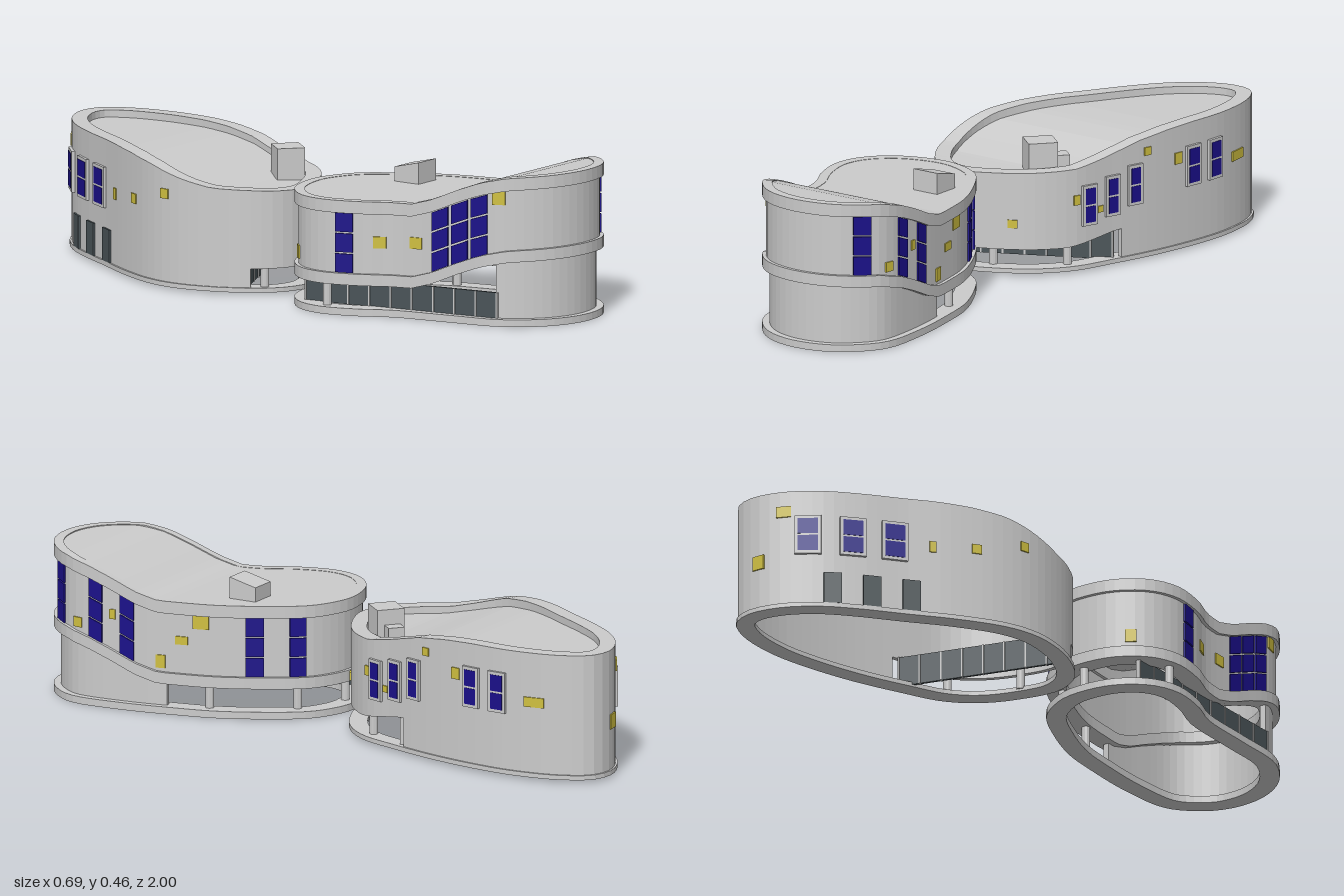
import * as THREE from 'three';

const material = (color) => new THREE.MeshStandardMaterial({ color, flatShading: true, side: THREE.DoubleSide });
const GREY = material(0xcccccc), BLUE = material(0x1a0f8a), YELLOW = material(0xd0c040), GLASS = material(0x4a5458);

// Piecewise-linear height as a function of z
const profile = (stops) => (z) => {
  if (z <= stops[0][0]) return stops[0][1];
  for (let i = 1; i < stops.length; i++) {
    const [z0, y0] = stops[i - 1], [z1, y1] = stops[i];
    if (z <= z1) return THREE.MathUtils.mapLinear(z, z0, z1, y0, y1);
  }
  return stops.at(-1)[1];
};

// Closed plan outline, running back, -x side, front, +x side
const outline = (pts) => new THREE.CatmullRomCurve3(pts.map(([x, z]) => new THREE.Vector3(x, 0, z)), true)
  .getSpacedPoints(80).slice(0, 80).map((p) => ({ x: p.x, z: p.z }));

const offset = (pts, d) => pts.map((p, i) => {
  const a = pts.at(i - 1), b = pts[(i + 1) % pts.length];
  const tx = b.x - a.x, tz = b.z - a.z, l = Math.hypot(tx, tz);
  return { x: p.x - tz / l * d, z: p.z + tx / l * d, side: tz > 0 ? -1 : 1 };
});

// Point and outward angle where the outline crosses z on the given side
function onWall(pts, side, z) {
  for (let i = 0; i < pts.length; i++) {
    const a = pts[i], b = pts[(i + 1) % pts.length], dz = b.z - a.z;
    if (dz * side < 0 && z >= Math.min(a.z, b.z) && z <= Math.max(a.z, b.z)) {
      return { x: a.x + (b.x - a.x) * (z - a.z) / dz, z, angle: Math.atan2(-dz, b.x - a.x) };
    }
  }
  return { x: 0, z, angle: 0 };
}

function addMesh(group, name, geometry, mat = GREY) {
  const mesh = new THREE.Mesh(geometry, mat);
  mesh.name = name;
  group.add(mesh);
  return mesh;
}

function fromTriangles(tri) {
  const g = new THREE.BufferGeometry();
  g.setAttribute('position', new THREE.Float32BufferAttribute(tri.flat(), 3));
  g.computeVertexNormals();
  return g;
}

// Thick wall following the outline; keep() leaves gaps with closed ends
function band(pts, out, inn, bottom, top, keep = () => true) {
  const outer = offset(pts, out), inner = offset(pts, inn), n = pts.length, tri = [];
  const loops = outer.map((o, i) => {
    const q = inner[i], p = { ...pts[i], side: o.side }, b = bottom(p), t = top(p);
    return [[o.x, b, o.z], [o.x, t, o.z], [q.x, t, q.z], [q.x, b, q.z]];
  });
  const kept = outer.map((o, i) => keep({ ...pts[i], side: o.side }));
  for (let i = 0; i < n; i++) {
    if (!kept[i]) continue;
    const A = loops[i], B = loops[(i + 1) % n];
    for (let k = 0; k < 4; k++) {
      const m = (k + 1) % 4;
      tri.push(A[k], B[k], B[m], A[k], B[m], A[m]);
    }
    if (!kept.at(i - 1)) tri.push(A[0], A[1], A[2], A[0], A[2], A[3]);
    if (!kept[(i + 1) % n]) tri.push(B[2], B[1], B[0], B[3], B[2], B[0]);
  }
  return fromTriangles(tri);
}

// Roof surface made of strips across the plan
function roofSheet(pts, height) {
  const zs = pts.map((p) => p.z), lo = Math.min(...zs) + 1e-4, hi = Math.max(...zs) - 1e-4, tri = [];
  const slice = (i) => {
    const z = (lo + hi) / 2 - (hi - lo) / 2 * Math.cos(Math.PI * i / 48), y = height(z);
    return [[onWall(pts, -1, z).x, y, z], [onWall(pts, 1, z).x, y, z]];
  };
  for (let i = 0; i < 48; i++) {
    const [a, d] = slice(i), [b, c] = slice(i + 1);
    tri.push(a, b, c, a, c, d);
  }
  return fromTriangles(tri);
}

// Thin panel set on a wall; an optional height profile shears it with the slope
function panel(group, name, pts, [side, z, y, w, h], depth, mat, slope) {
  const at = onWall(pts, side, z), g = new THREE.BoxGeometry(w, h, depth), v = g.attributes.position;
  if (slope) {
    for (let i = 0; i < v.count; i++) {
      v.setY(i, v.getY(i) + slope(z - Math.sin(at.angle) * v.getX(i)) - slope(z));
    }
  }
  const mesh = addMesh(group, name, g, mat);
  mesh.position.set(at.x, y, at.z);
  mesh.rotation.y = at.angle;
}

// Straight glazing between two plan points, with mullions
function screen(group, [x0, z0], [x1, z1], y0, y1, count) {
  const g = new THREE.Group(), len = Math.hypot(x1 - x0, z1 - z0);
  g.name = 'glassScreen';
  addMesh(g, 'glass', new THREE.BoxGeometry(len, y1 - y0, 0.008), GLASS);
  for (let i = 0; i <= count; i++) {
    addMesh(g, 'mullion', new THREE.BoxGeometry(0.005, y1 - y0, 0.014)).position.x = (i / count - 0.5) * len;
  }
  g.position.set((x0 + x1) / 2, (y0 + y1) / 2, (z0 + z1) / 2);
  g.rotation.y = -Math.atan2(z1 - z0, x1 - x0);
  group.add(g);
}

function pillars(group, spots, y0, y1) {
  for (const [x, z] of spots) {
    addMesh(group, 'pillar', new THREE.CylinderGeometry(0.013, 0.013, y1 - y0, 12)).position.set(x, (y0 + y1) / 2, z);
  }
}

function frontBuilding() {
  const g = new THREE.Group();
  g.name = 'frontBuilding';
  const plan = outline([[-0.1, 0.07], [-0.235, 0.105], [-0.32, 0.185], [-0.345, 0.28], [-0.315, 0.4], [-0.27, 0.49],
    [-0.235, 0.67], [-0.2, 0.84], [-0.127, 0.935], [-0.05, 0.98], [0.04, 0.995], [0.135, 0.975], [0.205, 0.925],
    [0.26, 0.84], [0.26, 0.67], [0.23, 0.49], [0.2, 0.37], [0.137, 0.24], [0.06, 0.13], [-0.02, 0.085]]);
  const roof = profile([[0.07, 0.35], [0.55, 0.35], [0.62, 0.37], [0.7, 0.405], [0.78, 0.435], [0.86, 0.453], [1, 0.462]]);
  const level = (d) => (p) => roof(p.z) + d;
  const wall = offset(plan, -0.011);

  addMesh(g, 'baseSlab', band(plan, 0, -0.06, () => 0, () => 0.022));
  addMesh(g, 'groundWall', band(plan, -0.022, -0.04, () => 0.02, level(-0.255),
    (p) => p.z > (p.side > 0 ? 0.54 : 0.82)));
  addMesh(g, 'floorBand', band(plan, 0, -0.06, level(-0.257), level(-0.222)));
  addMesh(g, 'upperWall', band(plan, -0.011, -0.02, level(-0.225), level(-0.035)));
  addMesh(g, 'roofBand', band(plan, 0, -0.03, level(-0.038), level(0)));
  addMesh(g, 'roof', roofSheet(offset(plan, -0.008), (z) => roof(z) - 0.001));
  screen(g, [-0.28, 0.18], [-0.185, 0.82], 0.02, 0.1, 9);
  pillars(g, [[-0.31, 0.28], [0.17, 0.41], [0.04, 0.18], [-0.12, 0.11]], 0.02, 0.1);

  // Tall windows of three stacked panes: side, z, width
  for (const [side, z, w] of [[1, 0.9, 0.055], [1, 0.757, 0.045], [1, 0.652, 0.045], [1, 0.27, 0.055], [1, 0.16, 0.05],
    [-1, 0.64, 0.055], [-1, 0.705, 0.055], [-1, 0.77, 0.055], [-1, 0.35, 0.055]]) {
    for (const i of [0, 1, 2]) {
      panel(g, 'windowPane', wall, [side, z, roof(z) - 0.068 - i * 0.062, w, 0.057], 0.01, BLUE, roof);
    }
  }
  // Coloured patches: side, z, y, width, height
  for (const p of [[1, 0.82, 0.25, 0.03, 0.03], [1, 0.7, 0.29, 0.02, 0.03], [1, 0.545, 0.16, 0.03, 0.04],
    [1, 0.48, 0.23, 0.04, 0.025], [1, 0.42, 0.29, 0.05, 0.04], [1, 0.155, 0.16, 0.03, 0.02], [-1, 0.45, 0.225, 0.04, 0.035],
    [-1, 0.56, 0.23, 0.04, 0.035], [-1, 0.83, 0.39, 0.04, 0.04], [-1, 0.15, 0.165, 0.035, 0.04]]) {
    panel(g, 'colourPatch', wall, p, 0.008, YELLOW);
  }
  // Roof hatch with a sloping top
  const hatch = new THREE.BoxGeometry(0.088, 0.06, 0.09), v = hatch.attributes.position;
  for (let i = 0; i < v.count; i++) if (v.getY(i) > 0) v.setY(i, 0.03 + v.getZ(i) * 0.24);
  addMesh(g, 'roofHatch', hatch).position.set(0.06, 0.374, 0.335);
  return g;
}

function backBuilding() {
  const g = new THREE.Group();
  g.name = 'backBuilding';
  const plan = outline([[0.19, -0.998], [0.095, -0.965], [0.005, -0.89], [-0.065, -0.795], [-0.14, -0.67], [-0.22, -0.54],
    [-0.285, -0.405], [-0.305, -0.315], [-0.3, -0.225], [-0.26, -0.105], [-0.18, 0], [-0.085, 0.03], [0.03, -0.005],
    [0.137, -0.07], [0.21, -0.16], [0.255, -0.29], [0.3, -0.45], [0.33, -0.63], [0.335, -0.76], [0.31, -0.9], [0.26, -0.98]]);
  const roof = profile([[-0.6, 0.392], [-0.5, 0.387], [-0.39, 0.373], [-0.26, 0.34], [-0.17, 0.322], [0.03, 0.315]]);
  const head = profile([[-0.31, 0.11], [-0.15, 0.08]]);
  const top = (d) => (p) => roof(p.z) + d;

  addMesh(g, 'baseSlab', band(plan, 0.006, -0.05, () => 0.008, () => 0.022));
  addMesh(g, 'lowerWall', band(plan, 0, -0.014, () => 0.015, (p) => head(p.z),
    (p) => p.z < (p.side > 0 ? -0.31 : -0.08)));
  addMesh(g, 'upperWall', band(plan, 0, -0.014, (p) => head(p.z), top(-0.01)));
  addMesh(g, 'parapet', band(plan, 0, -0.048, top(-0.03), top(0)));
  addMesh(g, 'roof', roofSheet(offset(plan, -0.044), (z) => roof(z) - 0.022));
  screen(g, [0.245, -0.31], [-0.24, -0.08], 0.015, 0.11, 8);
  pillars(g, [[0, -0.04], [0.18, -0.17], [-0.19, -0.04]], 0.015, 0.09);

  // Framed windows of two panes: side, z, centre height, width
  for (const [side, z, y, w] of [[1, -0.21, 0.205, 0.035], [1, -0.292, 0.22, 0.035], [1, -0.372, 0.24, 0.035],
    [1, -0.6, 0.258, 0.042], [1, -0.697, 0.258, 0.042], [-1, -0.915, 0.245, 0.062], [-1, -0.81, 0.245, 0.062],
    [-1, -0.7, 0.245, 0.062]]) {
    panel(g, 'windowFrame', plan, [side, z, y, w + 0.018, 0.125], 0.018, GREY);
    for (const s of [-1, 1]) panel(g, 'windowPane', plan, [side, z, y + s * 0.028, w, 0.05], 0.021, BLUE);
  }
  for (const z of [-0.86, -0.76, -0.655]) panel(g, 'door', plan, [-1, z, 0.072, 0.055, 0.1], 0.012, GLASS);

  // Coloured patches: side, z, y, width, height
  for (const p of [[1, -0.03, 0.16, 0.03, 0.025], [1, -0.17, 0.225, 0.02, 0.03], [1, -0.25, 0.185, 0.02, 0.02],
    [1, -0.42, 0.335, 0.025, 0.025], [1, -0.54, 0.29, 0.03, 0.035], [1, -0.82, 0.24, 0.065, 0.03],
    [-1, -0.96, 0.325, 0.045, 0.035], [-1, -0.993, 0.17, 0.04, 0.045], [-1, -0.6, 0.24, 0.02, 0.035],
    [-1, -0.48, 0.25, 0.03, 0.03], [-1, -0.33, 0.29, 0.03, 0.03]]) {
    panel(g, 'colourPatch', plan, p, 0.008, YELLOW);
  }
  // Rooftop plant room with a small annex
  for (const [name, x, z, w, d, y] of [['plantRoom', 0.088, -0.158, 0.09, 0.085, 0.395], ['plantAnnex', 0.118, -0.2, 0.07, 0.05, 0.348]]) {
    const box = addMesh(g, name, new THREE.BoxGeometry(w, y - 0.29, d));
    box.position.set(x, (y + 0.29) / 2, z);
    box.rotation.y = 0.86;
  }
  return g;
}

export function createModel() {
  const model = new THREE.Group();
  model.name = 'curvedBuildings';
  model.add(frontBuilding(), backBuilding());
  return model;
}
